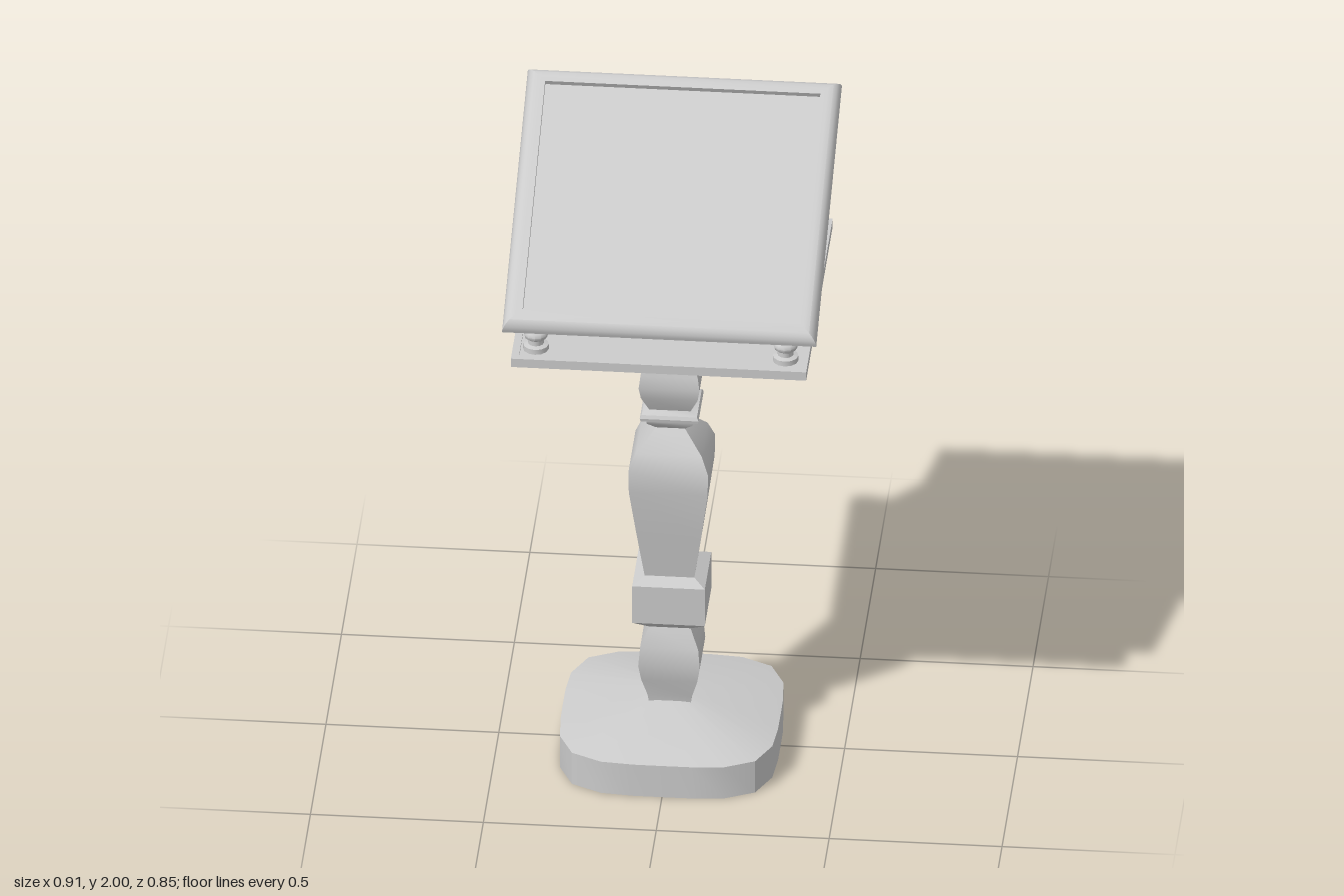
import * as THREE from 'three';
import { toCreasedNormals } from 'three/addons/utils/BufferGeometryUtils.js';

const material = new THREE.MeshStandardMaterial({ color: 0xcccccc });

function addMesh(parent, name, geometry) {
  const mesh = new THREE.Mesh(geometry, material);
  mesh.name = name;
  parent.add(mesh);
  return mesh;
}

const toPoints = (profile) => profile.map(([r, y]) => new THREE.Vector2(r, y));

// Square section swept through a profile of [half width, height]
function squareLathe(profile, crease = 0.6) {
  const points = profile.map(([w, y]) => new THREE.Vector2(w * Math.SQRT2, y));
  return toCreasedNormals(new THREE.LatheGeometry(points, 4, Math.PI / 4), crease);
}

// Soft-cornered square section swept through a profile
function softSquareLathe(profile, segments) {
  const geometry = new THREE.LatheGeometry(toPoints(profile), segments);
  const p = geometry.attributes.position;
  for (let i = 0; i < p.count; i++) {
    const x = p.getX(i), z = p.getZ(i), r = Math.hypot(x, z);
    if (r < 1e-6) continue;
    const k = Math.pow((x / r) ** 4 + (z / r) ** 4, -0.25);
    p.setX(i, x * k);
    p.setZ(i, z * k);
  }
  return toCreasedNormals(geometry, 0.6);
}

export function createModel() {
  const model = new THREE.Group();
  model.name = 'lectern';

  // Foot
  addMesh(model, 'base', softSquareLathe(
    [[0, 0], [0.315, 0], [0.315, 0.105], [0.05, 0.175], [0, 0.175]], 24));

  // Square turned column
  addMesh(model, 'column', squareLathe([
    [0, 0.16], [0.06, 0.16], [0.064, 0.19], [0.081, 0.25], [0.089, 0.3], [0.084, 0.36], [0.06, 0.418],
    [0.105, 0.455], [0.105, 0.578], [0.072, 0.597],
    [0.094, 0.75], [0.114, 0.9], [0.115, 0.97], [0.095, 1.02], [0.042, 1.08],
    [0.066, 1.105], [0.068, 1.115], [0.083, 1.122], [0.085, 1.132], [0.08, 1.142], [0.06, 1.15],
    [0.082, 1.2], [0.088, 1.235], [0.083, 1.275], [0.052, 1.365], [0.046, 1.41], [0.037, 1.478],
    [0.06, 1.497], [0, 1.497],
  ]));

  // Flat tray with a shallow rim
  addMesh(model, 'tray', squareLathe([
    [0, 1.496], [0.427, 1.496], [0.427, 1.524], [0.405, 1.524], [0.405, 1.518], [0, 1.518],
  ]));

  // Sloping reading board
  const slope = 0.426;
  const boardY = 1.785, boardZ = -0.01;
  const board = new THREE.Group();
  board.name = 'readingBoard';
  board.position.set(0, boardY, boardZ);
  board.rotation.x = slope;
  model.add(board);
  addMesh(board, 'boardFrame', squareLathe([
    [0, 0], [0.454, 0], [0.454, 0.008], [0.45, 0.02], [0.443, 0.031], [0.433, 0.038], [0.418, 0.042],
    [0.398, 0.042], [0.398, 0.026], [0, 0.026],
  ]));
  addMesh(board, 'backPanel', new THREE.BoxGeometry(0.6, 0.008, 0.6));

  // Turned posts: short at the front, tall at the back
  for (const z of [0.353, -0.353]) {
    const top = boardY - (z - boardZ) * Math.tan(slope) + 0.012;
    const profile = [
      [0, 1.515], [0.037, 1.515], [0.037, 1.534], [0.023, 1.538], [0.023, 1.553], [0.033, 1.56],
      [0.036, 1.57], [0.033, 1.58], [0.025, 1.588], [0.019, 1.592], [0.019, top], [0, top],
    ];
    for (const side of [1, -1]) {
      const name = (z > 0 ? 'front' : 'back') + (side > 0 ? 'Left' : 'Right') + 'Post';
      const post = addMesh(model, name,
        toCreasedNormals(new THREE.LatheGeometry(toPoints(profile), 12), 0.7));
      post.position.set(side * 0.361, 0, z);
    }
  }

  return model;
}
